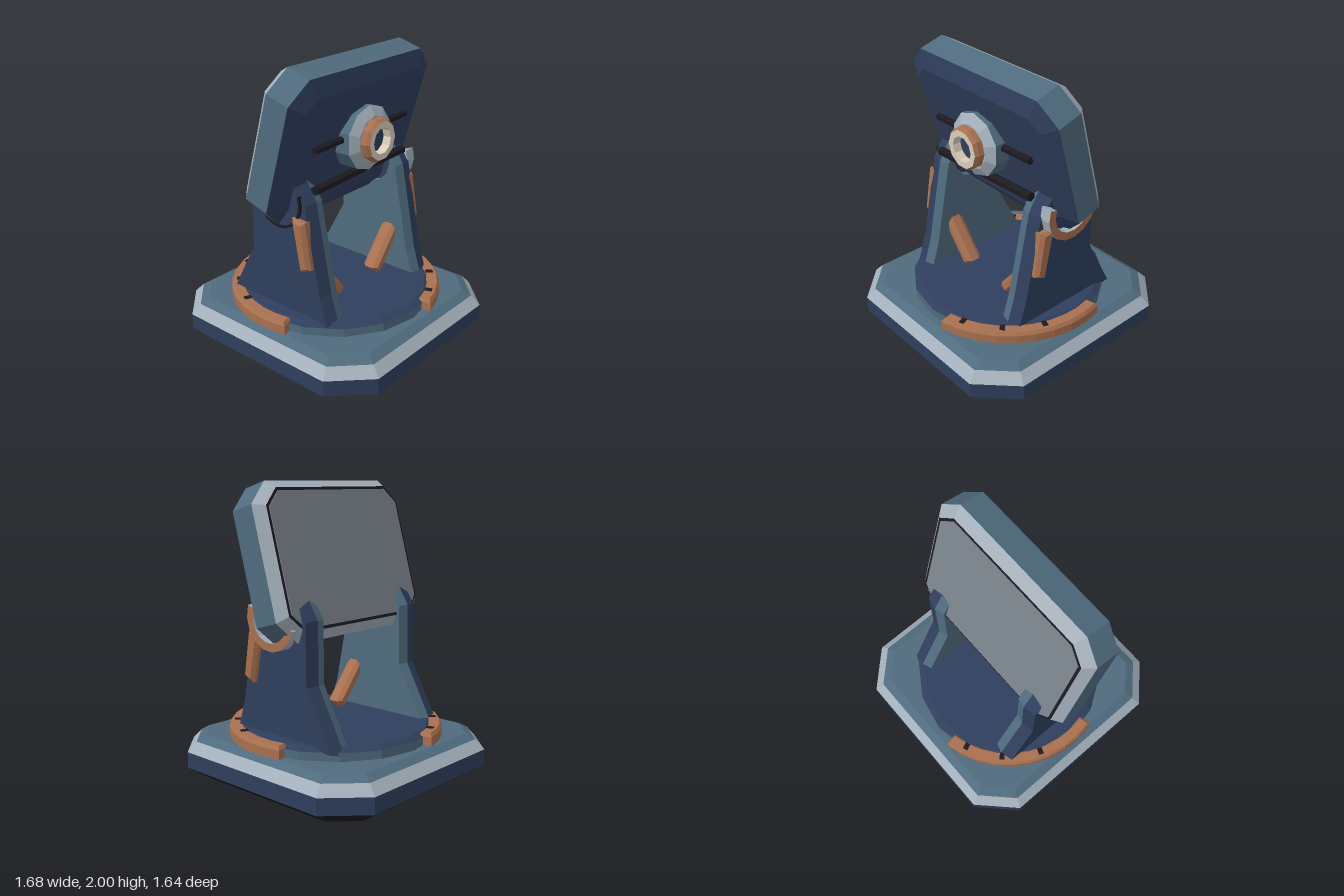
import * as THREE from 'three';

const mat = (name, color) => {
  const m = new THREE.MeshStandardMaterial({ color });
  m.name = name;
  return m;
};
const navy = mat('navy', 0x2f3e5c), teal = mat('teal', 0x4f6b7e), light = mat('light grey', 0xa3afba),
  copper = mat('copper', 0xa87050), black = mat('black', 0x1c1a20), slate = mat('panel grey', 0x7a828a),
  cream = mat('cream', 0xd8cdb8);

const V = (x, y) => new THREE.Vector2(x, y);
const poly = (...p) => p.map(([x, y]) => V(x, y));

// Moves every edge of a counter-clockwise outline inwards by d.
function inset(pts, d) {
  const n = pts.length;
  return pts.map((p, i) => {
    const a = p.clone().sub(pts[(i + n - 1) % n]).normalize();
    const b = pts[(i + 1) % n].clone().sub(p).normalize();
    const k = d / (1 + a.dot(b));
    return V(p.x - (a.y + b.y) * k, p.y + (a.x + b.x) * k);
  });
}

// Stacks inset copies of an outline along z; mats = [first cap, bands..., last cap].
function bevelStack(outline, layers, mats) {
  const rings = layers.map(([d, h]) => inset(outline, d).map(p => [p.x, p.y, h]));
  const pos = [], geo = new THREE.BufferGeometry(), n = outline.length;
  let slot = 0, start = 0;
  const used = [...new Set(mats)];
  const close = () => {
    const count = pos.length / 3 - start;
    geo.addGroup(start, count, used.indexOf(mats[slot++]));
    start += count;
  };
  const cap = (ring, flip) => {
    for (const [a, b, c] of THREE.ShapeUtils.triangulateShape(ring.map(p => V(p[0], p[1])), []))
      pos.push(...ring[a], ...ring[flip ? c : b], ...ring[flip ? b : c]);
    close();
  };
  cap(rings[0], true);
  for (let r = 0; r < rings.length - 1; r++) {
    for (let i = 0; i < n; i++) {
      const j = (i + 1) % n, lo = rings[r], hi = rings[r + 1];
      pos.push(...lo[i], ...lo[j], ...hi[j], ...lo[i], ...hi[j], ...hi[i]);
    }
    close();
  }
  cap(rings[rings.length - 1], false);
  geo.setAttribute('position', new THREE.Float32BufferAttribute(pos, 3));
  geo.computeVertexNormals();
  return { geo, mats: used };
}

const octagon = (w, h, c) => poly([w - c, -h], [w, c - h], [w, h - c], [w - c, h],
  [c - w, h], [-w, h - c], [-w, c - h], [c - w, -h]);
const ngon = (n, r, cx = 0, cy = 0, turn = 0) => Array.from({ length: n }, (_, i) => {
  const a = turn + i / n * Math.PI * 2;
  return V(cx + r * Math.cos(a), cy + r * Math.sin(a));
});
const rad = THREE.MathUtils.degToRad;
function arcBand(r0, r1, from, to, steps, cx = 0, cy = 0) {
  const out = [], inner = [];
  for (let i = 0; i <= steps; i++) {
    const a = rad(from + (to - from) * i / steps);
    out.push(V(cx + r1 * Math.cos(a), cy + r1 * Math.sin(a)));
    inner.unshift(V(cx + r0 * Math.cos(a), cy + r0 * Math.sin(a)));
  }
  return [...out, ...inner];
}
const flat = g => {
  const f = g.toNonIndexed();
  f.computeVertexNormals();
  return f;
};

export function createModel() {
  const model = new THREE.Group();
  const add = (name, geo, mats) => {
    const m = new THREE.Mesh(geo, mats);
    m.name = name;
    model.add(m);
    return m;
  };
  const stack = (name, outline, layers, mats, place = g => g) => {
    const s = bevelStack(outline, layers, mats);
    return add(name, place(s.geo), s.mats);
  };
  const lay = g => g.rotateX(-Math.PI / 2); // outline on the floor
  const toX = g => g.rotateY(Math.PI / 2);  // stack along +x
  // Same stack mirrored across z = 0
  const bothSides = (name, outline, layers, mats) => {
    stack(name + 'Left', outline, layers, mats);
    stack(name + 'Right', outline, layers.map(([d, h]) => [d, -h]).reverse(), [...mats].reverse());
  };

  // Base and turntable
  stack('base', octagon(0.84, 0.82, 0.24),
    [[0.13, 0], [0, 0.09], [0, 0.2], [0.06, 0.265], [0.12, 0.3]],
    [black, black, navy, light, teal, teal], lay);
  stack('turntable', ngon(16, 0.68), [[0, 0.29], [0, 0.355], [0.045, 0.38]], [teal, teal, navy, navy], lay);

  // Curved rails with index ticks
  for (const turn of [0, 180]) {
    stack('rail', arcBand(0.635, 0.73, 11 + turn, 104 + turn, 9),
      [[0, 0.3], [0, 0.36], [0.015, 0.383]], [copper, copper, copper, copper], lay);
    for (const deg of [22, 45, 69]) {
      const a = rad(deg + turn);
      const tick = add('railTick', new THREE.BoxGeometry(0.05, 0.008, 0.035), black);
      tick.position.set(0.67 * Math.cos(a), 0.384, -0.67 * Math.sin(a));
      tick.rotation.y = a;
    }
  }

  // Yoke arms with a round cradle at the top
  const cradle = [0, -30, -60, -90, -120, -150, -180].map(d =>
    V(0.14 * Math.cos(rad(d)), 1.15 + 0.14 * Math.sin(rad(d))));
  const arm = [...poly([-0.49, 0.33], [0.42, 0.33], [0.35, 0.55], [0.23, 1.15], [0.15, 1.28]),
    ...cradle, ...poly([-0.19, 1.27], [-0.265, 1.15], [-0.27, 0.74])];
  bothSides('arm', arm, [[0.02, 0.38], [0, 0.45], [0.02, 0.54]], [teal, teal, navy, navy]);

  // Pivots, their dark lips and the bearing cap
  bothSides('pivot', ngon(14, 0.175, 0, 1.14), [[0, 0.41], [0, 0.548]], [navy, navy, navy]);
  bothSides('pivotLip', arcBand(0.172, 0.19, -160, 20, 10, 0, 1.14), [[0, 0.53], [0, 0.555]],
    [black, black, black]);
  stack('bearingCap', arcBand(0.155, 0.21, -165, 20, 8, 0, 1.15), [[0, -0.61], [0, -0.53]],
    [copper, light, light]);

  // Copper side pads and inner braces
  bothSides('sidePad', poly([0.2, 0.7], [0.285, 0.74], [0.235, 1.05], [0.13, 1.06]),
    [[0, 0.52], [0, 0.565], [0.02, 0.59]], [copper, copper, copper, copper]);
  const brace = poly([0.16, 0.44], [0.22, 0.385], [0.44, 0.65], [0.38, 0.71]);
  for (const outline of [brace, brace.map(p => V(-p.x, p.y)).reverse()])
    stack('brace', outline, [[0.02, -0.23], [0, -0.2], [0, -0.14], [0.02, -0.11]],
      [copper, copper, copper, copper, copper], g => g.rotateY(-Math.PI / 2));

  // Tilted panel
  const panel = octagon(0.69, 0.515, 0.145);
  const tilt = g => toX(g).rotateZ(rad(-16)).translate(0.035, 1.482, 0);
  stack('panelHousing', panel, [[0.06, -0.143], [0, -0.08], [0, 0.1], [0.11, 0.155]],
    [black, light, teal, navy, navy], tilt);
  stack('panelFace', panel, [[0.08, -0.149], [0.08, -0.141]], [slate, slate, slate], tilt);

  // Hub on the panel's rear
  const hubTurn = Math.PI / 10;
  stack('hub', ngon(10, 0.217, 0, 1.47, hubTurn), [[0, 0.15], [0, 0.285], [0.06, 0.325]],
    [teal, teal, light, light], toX);
  const ring = (name, pts, m) => add(name,
    flat(new THREE.LatheGeometry(poly(...pts), 10)).rotateZ(-Math.PI / 2).translate(0, 1.47, 0), m);
  ring('hubRing', [[0.145, 0.31], [0.145, 0.365], [0.13, 0.39]], copper);
  ring('hubRingLip', [[0.13, 0.39], [0.088, 0.39], [0.088, 0.31]], cream);
  stack('hubWell', ngon(10, 0.09, 0, 1.47, hubTurn), [[0, 0.322], [0, 0.33]], [navy, navy, navy], toX);

  // Dark rods across the rear
  const rod = (name, x, y0, y1, r) => {
    const a = new THREE.Vector3(x, y0, 0.45), b = new THREE.Vector3(x, y1, -0.45);
    const dir = b.clone().sub(a);
    const m = add(name, flat(new THREE.CylinderGeometry(r, r, dir.length(), 6)), black);
    m.position.copy(a).add(b).multiplyScalar(0.5);
    m.quaternion.setFromUnitVectors(new THREE.Vector3(0, 1, 0), dir.normalize());
  };
  rod('upperRod', 0.222, 1.485, 1.512, 0.026);
  rod('lowerRod', 0.215, 1.222, 1.258, 0.032);

  return model;
}
